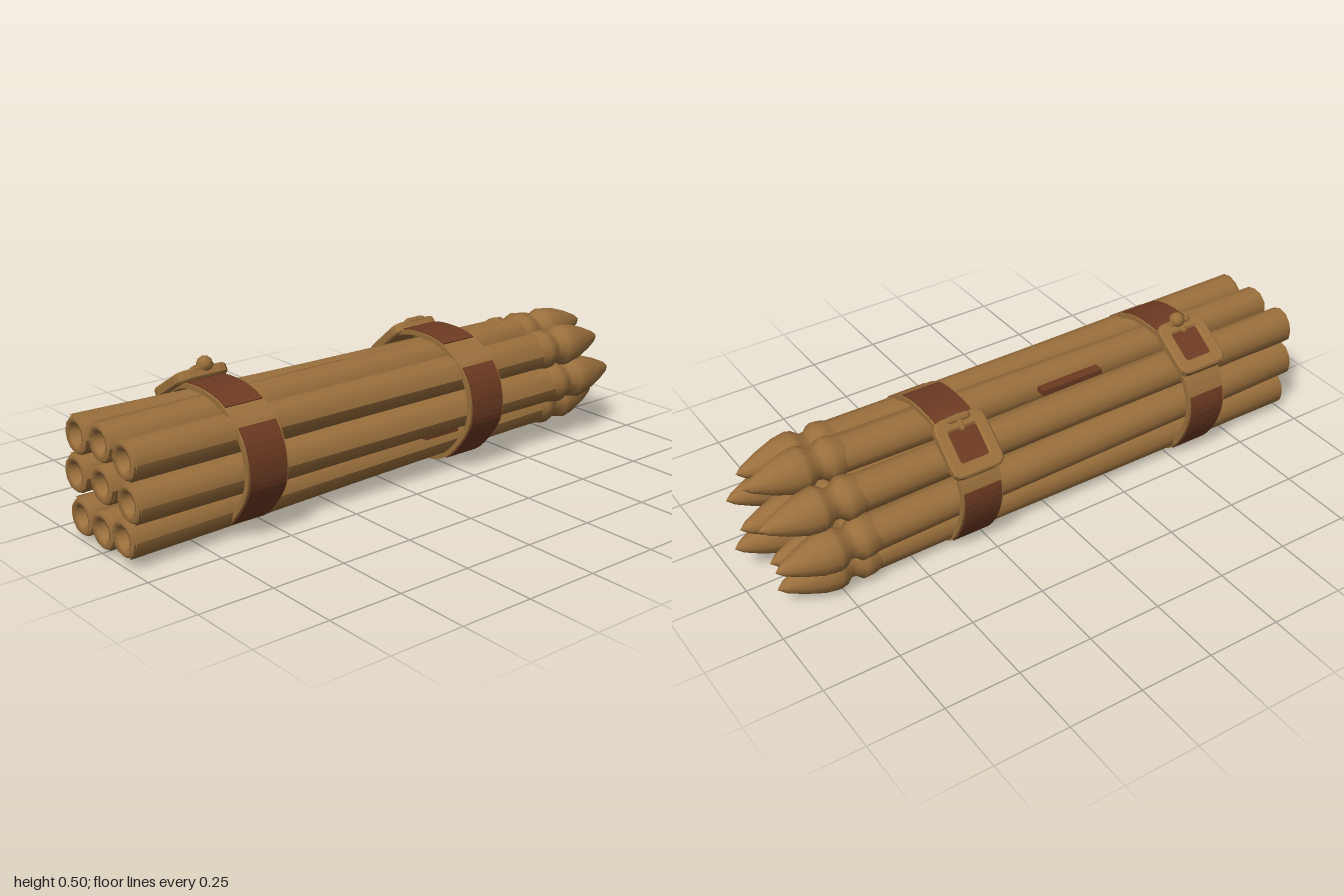
import * as THREE from 'three';

const wood = new THREE.MeshStandardMaterial({ color: 0x9a6f3c });
wood.name = 'tanWood';
const leather = new THREE.MeshStandardMaterial({ color: 0x6e3b22 });
leather.name = 'brownLeather';

function add(parent, name, geometry, material) {
  const mesh = new THREE.Mesh(geometry, material);
  mesh.name = name;
  parent.add(mesh);
  return mesh;
}

// Bolt: a hollow-ended shaft, a collar and a bulbous pointed head, along its own y axis
function makeBolt(tail, head, tipX, seed) {
  const from = new THREE.Vector3(-0.995, tail[1], tail[0]);
  const to = new THREE.Vector3(tipX, head[1], head[0]);
  const L = from.distanceTo(to);
  const bolt = new THREE.Group();
  bolt.name = 'bolt';
  const lathe = (pts) => new THREE.LatheGeometry(pts.map(([r, y]) => new THREE.Vector2(r, y)), 12);

  // shaft with slightly uneven, whittled sides
  const shaft = lathe([0, 0.25, 0.5, 0.75, 1].map((t) => [0.062, t * (L - 0.3)]));
  const p = shaft.attributes.position;
  for (let i = 0; i < p.count; i++) {
    const a = Math.atan2(p.getZ(i), p.getX(i));
    const k = 1 + 0.04 * Math.sin(3 * a + seed * 2 + p.getY(i) * 3);
    p.setX(i, p.getX(i) * k);
    p.setZ(i, p.getZ(i) * k);
  }
  shaft.computeVertexNormals();
  add(bolt, 'shaft', shaft, wood);

  // rim and hollow of the tail end
  const socket = lathe([[0, 0.04], [0.026, 0.035], [0.034, 0.002], [0.052, -0.004], [0.062, 0.008]]);
  add(bolt, 'tailSocket', socket, wood);

  const profile = [[0.06, -0.33], [0.07, -0.295], [0.071, -0.27], [0.054, -0.25], [0.051, -0.228],
    [0.068, -0.205], [0.073, -0.185], [0.066, -0.14], [0.045, -0.08], [0.02, -0.025], [0, 0]];
  add(bolt, 'pointedHead', lathe(profile.map(([r, y]) => [r, L + y])), wood);

  bolt.position.copy(from);
  bolt.quaternion.setFromUnitVectors(new THREE.Vector3(0, 1, 0), to.sub(from).normalize());
  return bolt;
}

// Strap outline as [z, y], starting at the front and going over the top
const outline = [[0.255, 0.23], [0.24, 0.31], [0.19, 0.38], [0.1, 0.43], [0, 0.443], [-0.1, 0.43],
  [-0.19, 0.37], [-0.24, 0.29], [-0.255, 0.22], [-0.235, 0.13], [-0.19, 0.05], [-0.15, 0.012],
  [-0.1, 0.005], [0.07, 0.01], [0.14, 0.04], [0.2, 0.1], [0.245, 0.17]];
const loop = new THREE.CatmullRomCurve3(outline.map(([z, y]) => new THREE.Vector3(z, y, 0)), true);

// Part of the strap between two outline positions, scaled between an inner and outer surface
function bandGeometry(i0, i1, inner, outer, width) {
  const n = Math.ceil((i1 - i0) * 3);
  const side = (s) => Array.from({ length: n + 1 }, (_, k) => {
    const t = (i0 + ((i1 - i0) * k) / n) / outline.length;
    const q = loop.getPoint(t % 1);
    return new THREE.Vector2(q.x * s, 0.225 + (q.y - 0.225) * s);
  });
  const shape = new THREE.Shape([...side(outer), ...side(inner).reverse()]);
  const g = new THREE.ExtrudeGeometry(shape, { depth: width, bevelEnabled: false });
  return g.translate(0, 0, -width / 2).rotateY(-Math.PI / 2);
}

function roundedRect(path, w, h, r) {
  const x = w / 2, y = h / 2;
  path.moveTo(-x + r, -y).lineTo(x - r, -y).quadraticCurveTo(x, -y, x, -y + r);
  path.lineTo(x, y - r).quadraticCurveTo(x, y, x - r, y).lineTo(-x + r, y);
  path.quadraticCurveTo(-x, y, -x, y - r).lineTo(-x, -y + r).quadraticCurveTo(-x, -y, -x + r, -y);
  return path;
}

// Buckle: a rounded frame with a leather centre and a prong along its upper end
function makeBuckle(bigKnob) {
  const buckle = new THREE.Group();
  buckle.name = 'buckle';
  const shape = roundedRect(new THREE.Shape(), 0.17, 0.18, 0.03);
  shape.holes.push(roundedRect(new THREE.Path(), 0.11, 0.115, 0.015));
  const frame = new THREE.ExtrudeGeometry(shape, {
    depth: 0.022, bevelSize: 0.006, bevelThickness: 0.006, bevelSegments: 1, curveSegments: 3,
  });
  add(buckle, 'buckleFrame', frame.translate(0, 0, -0.012), wood);
  add(buckle, 'buckleCentre', new THREE.BoxGeometry(0.12, 0.125, 0.02), leather);
  const bar = add(buckle, 'prongBar', new THREE.CapsuleGeometry(0.014, 0.06, 2, 6), wood);
  bar.rotation.z = Math.PI / 2;
  bar.position.set(0, -0.085, 0.012);
  const tongue = add(buckle, 'prong', new THREE.CapsuleGeometry(0.01, 0.04, 2, 6), wood);
  tongue.position.set(0, -0.07, 0.014);
  if (bigKnob) {
    const knob = add(buckle, 'prongKnob', new THREE.IcosahedronGeometry(0.026, 1), wood);
    knob.position.set(0.01, -0.09, 0.022);
  }
  return buckle;
}

function makeStrap(x, darkSpans, bucklePos, tilt, bigKnob) {
  const strap = new THREE.Group();
  strap.name = 'strap';
  add(strap, 'strapBand', bandGeometry(0, 17, 0.915, 0.985, 0.145), wood);
  darkSpans.forEach(([a, b]) => {
    add(strap, 'leatherFace', bandGeometry(a, b, 0.975, 1, 0.132), leather);
  });
  const buckle = makeBuckle(bigKnob);
  buckle.position.set(0, bucklePos[1], bucklePos[0]);
  buckle.rotation.x = -Math.PI / 2 - tilt;
  strap.add(buckle);
  strap.position.x = x;
  return strap;
}

export function createModel() {
  const model = new THREE.Group();
  model.name = 'boltBundle';

  // tail [z, y], head [z, y], tip x
  const bolts = [
    [[0.14, 0.335], [0.145, 0.33], 0.93],
    [[0.01, 0.35], [0.03, 0.36], 0.96],
    [[-0.125, 0.335], [-0.11, 0.305], 0.98],
    [[0.155, 0.21], [0.178, 0.22], 0.96],
    [[0.01, 0.22], [0.01, 0.235], 0.99],
    [[-0.14, 0.21], [-0.175, 0.19], 0.97],
    [[0.115, 0.09], [0.078, 0.112], 0.99],
    [[0.0, 0.075], [-0.04, 0.11], 0.93],
    [[-0.12, 0.078], [-0.125, 0.078], 0.95],
  ];
  bolts.forEach(([tail, head, tip], i) => model.add(makeBolt(tail, head, tip, i)));

  // leather scraps wedged between the shafts
  [[-0.16, 0.375, -0.055, 0.23], [0.18, 0.147, 0.15, 0.14]].forEach(([x, y, z, len]) => {
    add(model, 'leatherScrap', new THREE.BoxGeometry(len, 0.02, 0.035), leather).position.set(x, y, z);
  });

  model.add(makeStrap(-0.58, [[13.9, 18.8], [2.6, 4.6], [7.2, 10.5]], [-0.145, 0.41], 0.56, true));
  model.add(makeStrap(0.3, [[13.9, 18.8], [2.9, 4.9], [7.4, 10.5]], [-0.168, 0.378], 0.71, false));
  return model;
}
